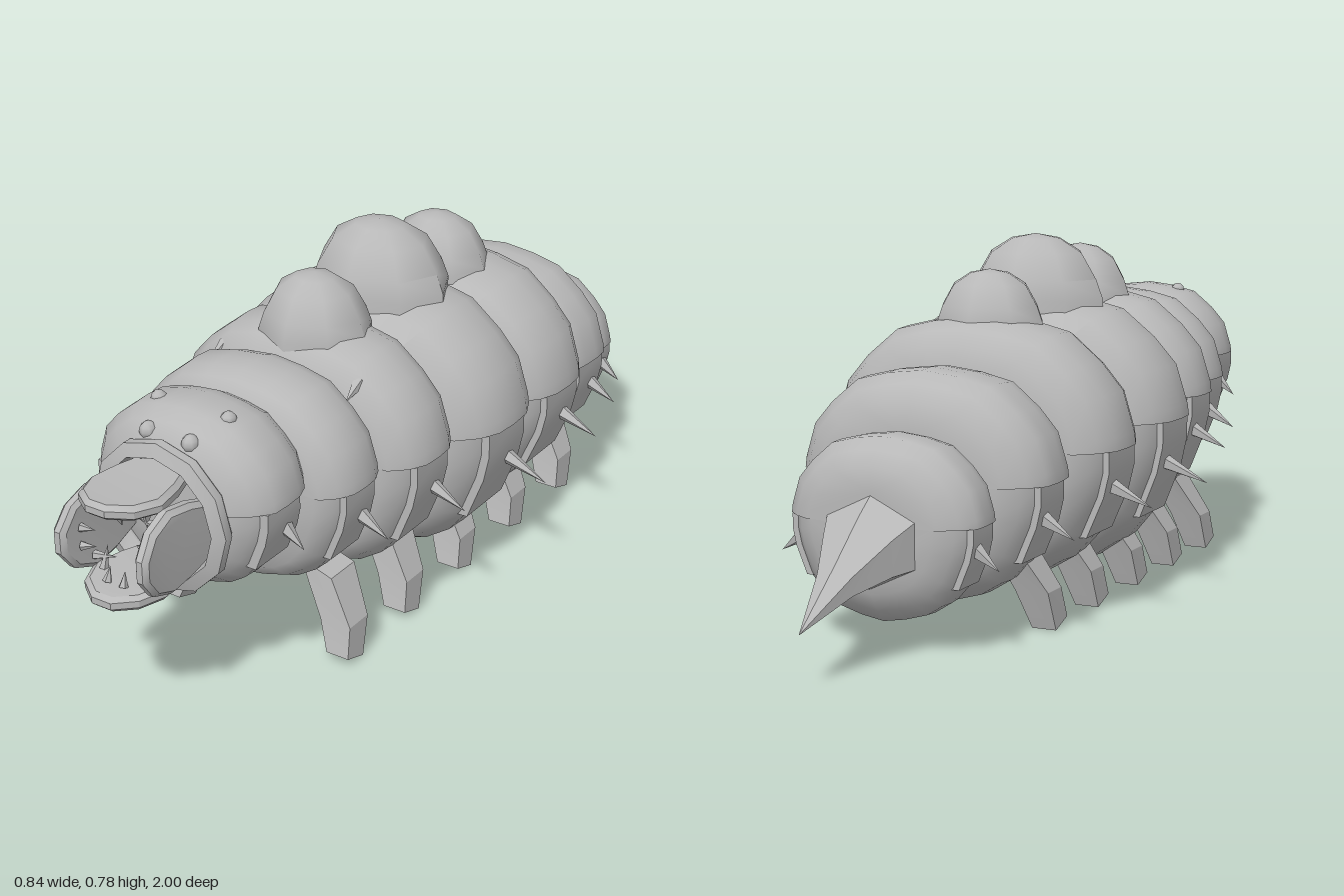
import * as THREE from 'three';
import { toCreasedNormals } from 'three/addons/utils/BufferGeometryUtils.js';

const V = (x, y, z) => new THREE.Vector3(x, y, z);
const hide = new THREE.MeshStandardMaterial({ color: 0xb8b8b8 });
hide.name = 'grey hide';

// Skin a list of equal-length closed rings and cap both ends.
function loft(rings) {
  const pos = [];
  const tri = (...p) => p.forEach((v) => pos.push(v.x, v.y, v.z));
  const n = rings[0].length;
  const middle = (r) => r.reduce((s, v) => s.add(v), V(0, 0, 0)).divideScalar(n);
  const last = rings[rings.length - 1];
  const a = middle(rings[0]), b = middle(last);
  for (let j = 0; j < n; j++) {
    const k = (j + 1) % n;
    for (let i = 0; i < rings.length - 1; i++) {
      const p = rings[i], q = rings[i + 1];
      tri(p[j], q[j], q[k]);
      tri(p[j], q[k], p[k]);
    }
    tri(a, rings[0][j], rings[0][k]);
    tri(b, last[k], last[j]);
  }
  const g = new THREE.BufferGeometry();
  g.setAttribute('position', new THREE.Float32BufferAttribute(pos, 3));
  return g;
}

function add(parent, name, geo, crease = 0.8) {
  const m = new THREE.Mesh(toCreasedNormals(geo, crease), hide);
  m.name = name;
  parent.add(m);
  return m;
}

// Pointed cone from a base point to a tip.
function spike(parent, name, from, to, r, sides = 5) {
  const d = to.clone().sub(from), len = d.length();
  const m = add(parent, name, new THREE.ConeGeometry(r, len, sides).translate(0, len / 2, 0), 0.5);
  m.quaternion.setFromUnitVectors(V(0, 1, 0), d.normalize());
  m.position.copy(from);
}

// Half sections as [width, height] factors, mirrored into full arcs.
const UPPER = [[1, 0], [0.99, 0.1], [0.91, 0.43], [0.76, 0.65], [0.54, 0.88], [0.28, 0.96]];
const LOWER = [[1, 0], [1, 0.15], [0.96, 0.32], [0.84, 0.6], [0.68, 0.78], [0.5, 0.89], [0.25, 0.96]];
const arc = (half) => [...half, [0, 1], ...half.map(([x, y]) => [-x, y]).reverse()];

// Body segments: front z, back z, seam y, top y, bottom y, half width, front and back scale, spike tip x and y
const SEGMENTS = [
  [0.79, 0.585, 0.45, 0.62, 0.232, 0.22, 0.7, 0.83, 0.245, 0.375],
  [0.59, 0.395, 0.415, 0.625, 0.15, 0.27, 0.82, 0.83, 0.315, 0.325],
  [0.4, 0.175, 0.405, 0.645, 0.09, 0.315, 0.82, 0.81, 0.37, 0.31],
  [0.18, -0.105, 0.385, 0.65, 0.028, 0.35, 0.81, 0.82, 0.42, 0.275],
  [-0.1, -0.365, 0.36, 0.625, 0.05, 0.335, 0.84, 0.8, 0.4, 0.265],
  [-0.36, -0.575, 0.32, 0.54, 0.055, 0.28, 0.9, 0.74, 0.325, 0.235],
  [-0.565, -0.73, 0.26, 0.43, 0.055, 0.21, 0.88, 0.68, 0.245, 0.2],
];

function segment(parent, [zf, zb, seam, top, bottom, w, sf, sb, tipX, tipY]) {
  const g = new THREE.Group();
  g.name = 'bodySegment';
  parent.add(g);
  const stations = [[0, sf], [0.14, (sf + 1) / 2 + 0.02], [0.3, 0.99], [0.5, 1], [0.7, 0.99], [0.86, (sb + 1) / 2 + 0.02], [1, sb]];
  const sweep = (section, width, height) => loft(stations.map(([t, s]) =>
    section.map(([x, y]) => V(x * width * s, seam + y * height * s, zf + (zb - zf) * t))));
  add(g, 'backShell', sweep(arc(UPPER), w, top - seam), 0.9);
  const belly = arc(LOWER).map(([x, y]) => [-x, y]);
  add(g, 'belly', sweep(belly, w * 0.94, bottom - seam), 0.9);

  for (const s of [1, -1]) {
    // raised flank panel under the shell
    const lw = w * 0.94, h = bottom - seam;
    const outer = LOWER.slice(0, 4).map(([x, y]) => [x * lw + 0.005, seam + y * h]);
    const ring = [[lw * 0.75, seam], [lw * 0.7, seam + 0.6 * h], ...outer.reverse()];
    if (s < 0) ring.reverse();
    const zAt = (t) => zf + (zb - zf) * t;
    add(g, 'flankPanel', loft([0.22, 0.74].map((t) => ring.map(([x, y]) => V(x * s, y, zAt(t))))), 0.4);
    const z = zAt(0.57);
    spike(g, 'sideSpike', V(s * lw * 0.9, tipY + 0.025, z), V(s * tipX, tipY - 0.025, z), 0.022);
  }
}

// Four-petal jaw with inward teeth
function mouth(parent) {
  const g = new THREE.Group();
  g.name = 'mouth';
  g.position.set(0, 0.415, 0);
  parent.add(g);
  const rim = [[0.15, 0], [0.163, 0.015], [0.163, 0.035], [0.135, 0.045], [0.12, 0.015], [0.12, 0], [0.15, 0]];
  const collar = new THREE.LatheGeometry(rim.map(([r, y]) => new THREE.Vector2(r, y)), 12);
  add(g, 'mouthCollar', collar.rotateX(Math.PI / 2).translate(0, 0, 0.78), 0.6);

  const half = [[0.05, 0.79], [0.07, 0.85], [0.08, 0.91], [0.06, 0.96], [0.02, 0.989]];
  const outline = [...half, ...half.map(([x, z]) => [-x, z]).reverse()];
  const shape = new THREE.Shape(outline.map(([x, z]) => new THREE.Vector2(x, z)));
  for (let i = 0; i < 4; i++) {
    const jaw = new THREE.Group();
    jaw.name = 'jaw';
    jaw.rotation.z = i * Math.PI / 2;
    g.add(jaw);
    const plate = new THREE.ExtrudeGeometry(shape, { depth: 0.014, bevelSize: 0.01, bevelThickness: 0.009, bevelSegments: 1 });
    plate.rotateX(Math.PI / 2).translate(0, 0.1, 0);
    // bow the plate outward along its middle
    const p = plate.attributes.position;
    for (let k = 0; k < p.count; k++) {
      p.setY(k, p.getY(k) + 0.008 * (1 - (p.getX(k) / 0.09) ** 2));
    }
    add(jaw, 'jawPlate', plate, 0.5);
    for (const x of [-0.058, -0.02, 0.02, 0.058]) {
      const corner = Math.abs(x) > 0.04;
      const z = corner ? 0.92 : 0.955;
      spike(jaw, 'tooth', V(x, 0.08, z), V(x * 0.9, corner ? 0.03 : 0.05, z - 0.01), 0.01);
    }
  }
}

export function createModel() {
  const model = new THREE.Group();
  model.name = 'armouredGrub';
  SEGMENTS.forEach((s) => segment(model, s));
  mouth(model);

  // Dorsal humps: z, half width, half length, top y, dome height
  const dome = [[1, -0.4], [1, 0.17], [0.9, 0.42], [0.68, 0.76], [0.36, 0.94], [0, 1]];
  for (const [z, w, l, top, h] of [[0.28, 0.125, 0.115, 0.745, 0.145], [0.035, 0.163, 0.138, 0.782, 0.17], [-0.2, 0.125, 0.108, 0.72, 0.135]]) {
    const geo = new THREE.LatheGeometry(dome.map(([r, y]) => new THREE.Vector2(r, y)), 8);
    add(model, 'dorsalHump', geo.scale(w, h, l).translate(0, top - h, z), 0.85);
  }

  // Tail stinger: z, centre y, half width, half height
  const tail = [[-0.7, 0.235, 0.115, 0.105], [-0.78, 0.21, 0.08, 0.072], [-0.87, 0.17, 0.04, 0.037], [-1, 0.105, 0.001, 0.001]];
  add(model, 'tailStinger', loft(tail.map(([z, y, w, h]) =>
    [0, 1, 2, 3, 4, 5].map((i) => {
      const a = i * Math.PI / 3 + Math.PI / 6;
      return V(Math.cos(a) * w * 1.1, y + Math.sin(a) * h, z);
    }))), 0.5);

  for (const s of [1, -1]) {
    // Legs, knee bent outward: x, y, z offset, half sizes, upward tilt of the front edge
    const joints = [[0.15, 0.19, -0.045, 0.038, 0.042, 0], [0.206, 0.083, -0.022, 0.037, 0.033, 0], [0.222, 0.009, 0, 0.027, 0.028, 0.009]];
    for (const z of [0.505, 0.288, 0.07, -0.155, -0.375]) {
      add(model, 'leg', loft(joints.map(([x, y, dz, a, b, tilt]) =>
        [[1, 1], [1, -1], [-1, -1], [-1, 1]].map(([i, k]) =>
          V(s * x + i * a, y + k * tilt - (y > 0.1 ? s * i * 0.012 : 0), z + dz + k * b)))), 0.3);
    }
    // Eyes
    for (const [x, y, z, r] of [[0.052, 0.574, 0.772, 0.019], [0.086, 0.603, 0.695, 0.017], [0.12, 0.545, 0.75, 0.01]]) {
      add(model, 'eye', new THREE.SphereGeometry(r, 8, 6).translate(s * x, y, z), 1);
    }
    // Small shoulder horns
    spike(model, 'shoulderHorn', V(s * 0.2, 0.56, 0.12), V(s * 0.206, 0.515, 0.185), 0.016);
    spike(model, 'shoulderHorn', V(s * 0.17, 0.572, 0.37), V(s * 0.175, 0.55, 0.425), 0.015);
  }
  return model;
}
